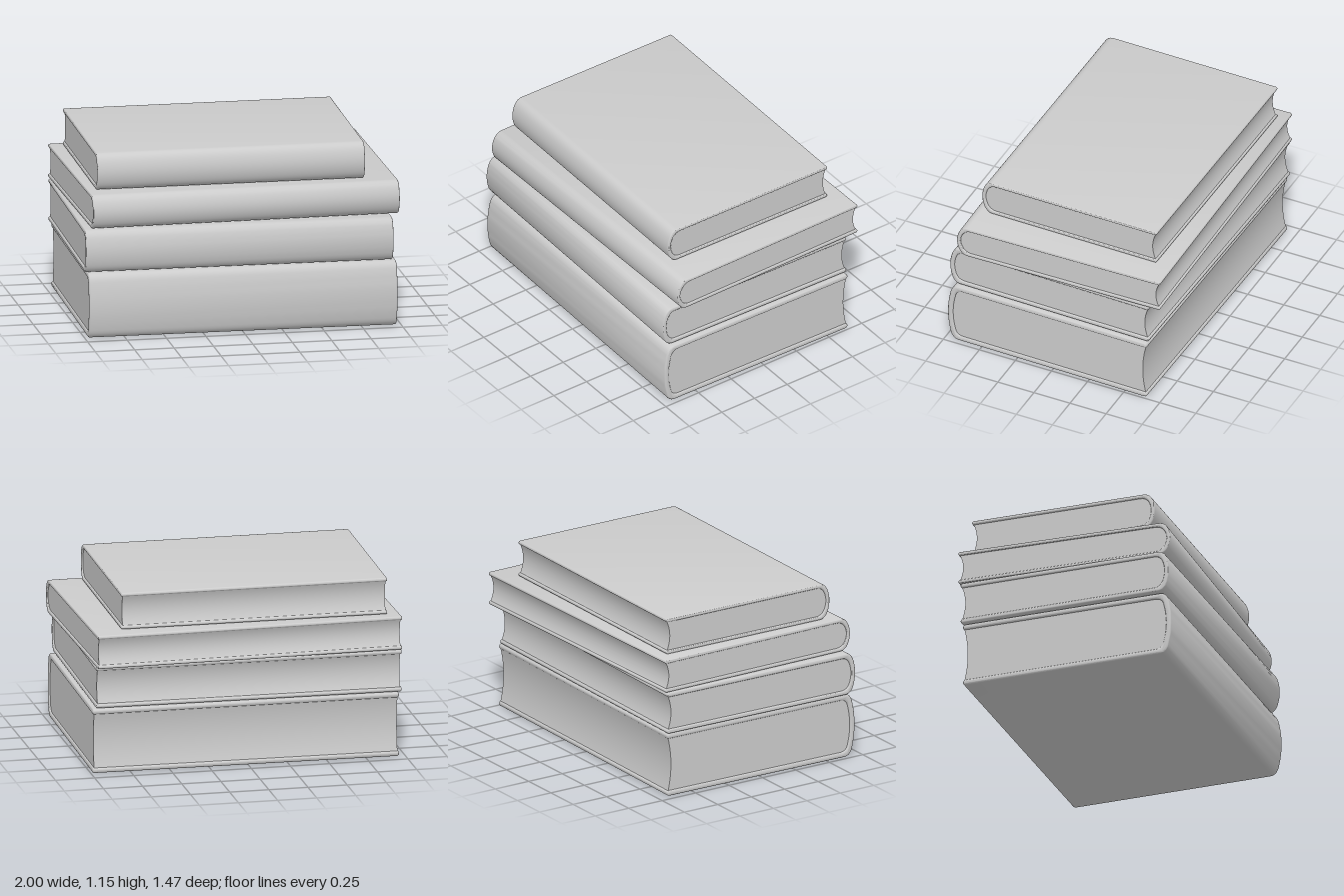
import * as THREE from 'three';
import { toCreasedNormals } from 'three/addons/utils/BufferGeometryUtils.js';

const material = new THREE.MeshStandardMaterial({ color: 0xcccccc });

// Rounded, slightly bulging spine section, inset from the outside by i.
function spinePoints(front, h, i) {
  const F = front - i, y0 = i, y1 = h - i;
  const s = 0.055 - i * 0.5;          // height of the rounded shoulder
  const b = 0.045 * h;                // bulge
  const slope = (2 * b) / (h / 2 - y0 - s);
  const cx = F - b - s * slope;
  const path = new THREE.Path();
  path.moveTo(cx - 0.045, y0);
  path.quadraticCurveTo(cx, y0, F - b, y0 + s);
  path.quadraticCurveTo(F + b, h / 2, F - b, y1 - s);
  path.quadraticCurveTo(cx, y1, cx - 0.045, y1);
  return path.getPoints(8);
}

// Half-round board edge at the back, running through the angles a0 to a1.
function boardEdge(z, y, r, a0, a1) {
  const pts = [];
  for (let k = 0; k <= 8; k++) {
    const a = a0 + ((a1 - a0) * k) / 8;
    pts.push(new THREE.Vector2(z + r * Math.cos(a), y + r * Math.sin(a)));
  }
  return pts;
}

// Extrudes a (z, y) section along x, centred, with softened ends.
function extrudeAlongX(points, width, bevel) {
  const geo = new THREE.ExtrudeGeometry(new THREE.Shape(points), {
    depth: width - 2 * bevel,
    steps: 1,
    bevelEnabled: bevel > 0,
    bevelThickness: bevel,
    bevelSize: bevel,
    bevelOffset: -bevel,
    bevelSegments: 4,
  });
  geo.translate(0, 0, -(width - 2 * bevel) / 2);
  geo.rotateY(-Math.PI / 2);
  return toCreasedNormals(geo, 0.6);
}

function makeBook({ name, w, h, d, t, x, y, z, turn }) {
  const book = new THREE.Group();
  book.name = name;
  const front = d / 2, back = -d / 2, r = t / 2, H = Math.PI / 2;

  // Case: two boards joined by the spine
  const cover = new THREE.Mesh(extrudeAlongX([
    ...spinePoints(front, h, 0),
    ...boardEdge(back + r, h - r, r, H, 3 * H),
    ...spinePoints(front, h, t).reverse(),
    ...boardEdge(back + r, r, r, H, 3 * H),
  ], w, t * 0.36), material);
  cover.name = 'cover';

  // Page block with a hollow fore-edge
  const i = t - 0.002;
  const hollow = new THREE.QuadraticBezierCurve(
    new THREE.Vector2(back + 0.01, h - i),
    new THREE.Vector2(back + 0.052, h / 2),
    new THREE.Vector2(back + 0.01, i),
  ).getPoints(16);
  const pages = new THREE.Mesh(
    extrudeAlongX([...spinePoints(front, h, i), ...hollow], w - 0.02, 0), material);
  pages.name = 'pages';

  book.add(cover, pages);
  book.position.set(x, y, z);
  book.rotation.y = turn;
  return book;
}

export function createModel() {
  const stack = new THREE.Group();
  stack.name = 'bookStack';
  const books = [
    { name: 'bottomBook', w: 1.95, h: 0.415, d: 1.39, t: 0.036, x: 0.005, y: 0, z: 0.027, turn: -0.015 },
    { name: 'secondBook', w: 1.945, h: 0.272, d: 1.39, t: 0.03, x: -0.015, y: 0.42, z: 0.02, turn: -0.018 },
    { name: 'thirdBook', w: 1.95, h: 0.215, d: 1.397, t: 0.024, x: 0.012, y: 0.696, z: -0.024, turn: 0.016 },
    { name: 'topBook', w: 1.695, h: 0.235, d: 1.215, t: 0.024, x: -0.05, y: 0.914, z: -0.031, turn: -0.009 },
  ];
  for (const b of books) stack.add(makeBook(b));
  return stack;
}
